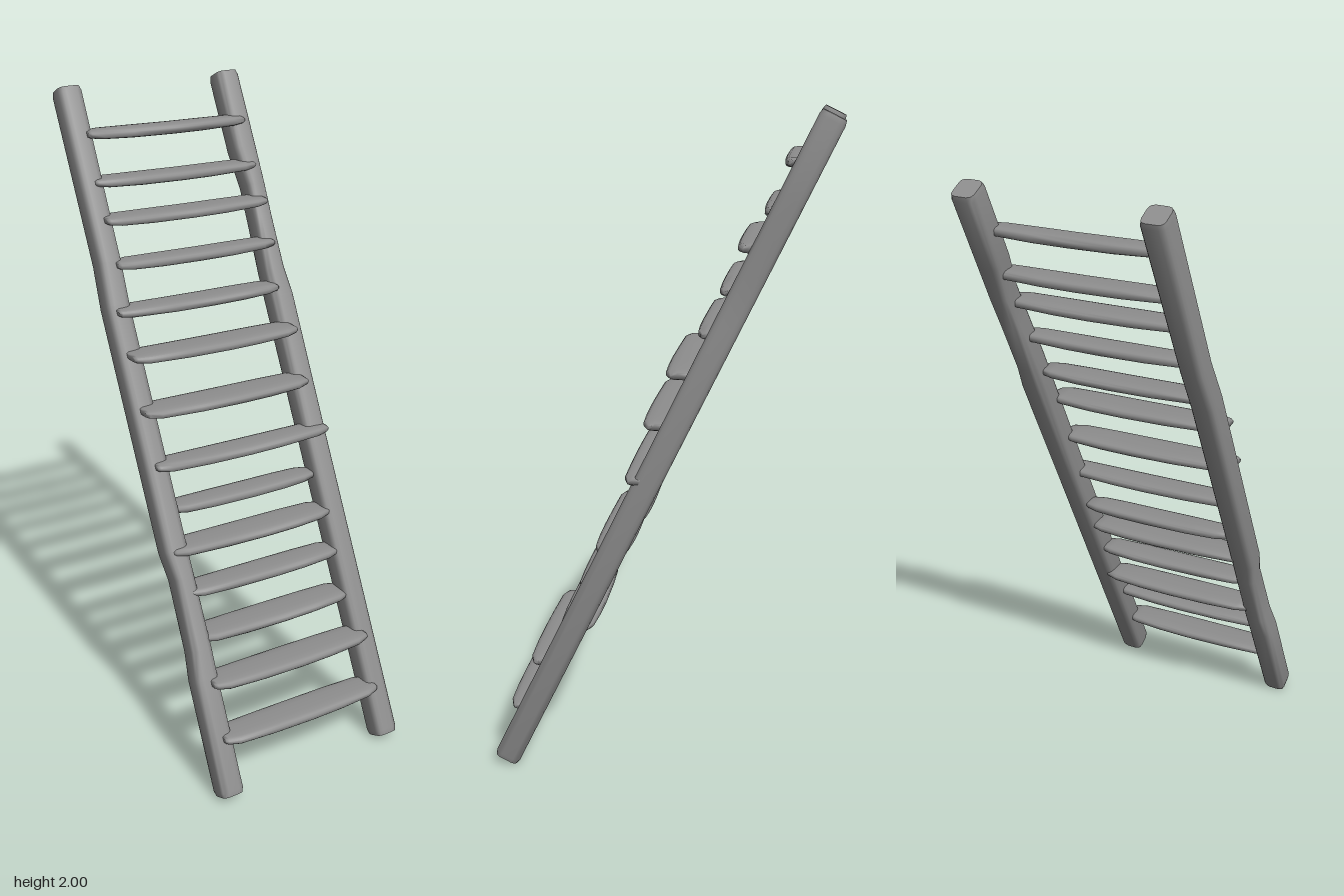
import * as THREE from 'three';
import { toCreasedNormals } from 'three/addons/utils/BufferGeometryUtils.js';

const SIDES = 16;

// Rounded-rectangle sections lofted along a path; stations are [centre, halfU, halfV], u x v = path direction
function loft(stations, u, v, power) {
  const pos = [], index = [];
  const pow = (t) => Math.sign(t) * Math.abs(t) ** power;
  for (const [c, hu, hv] of stations) {
    for (let i = 0; i < SIDES; i++) {
      const a = ((i + 0.5) / SIDES) * Math.PI * 2;
      const p = c.clone().addScaledVector(u, pow(Math.cos(a)) * hu).addScaledVector(v, pow(Math.sin(a)) * hv);
      pos.push(p.x, p.y, p.z);
    }
  }
  const last = stations.length - 1;
  for (let j = 0; j < last; j++) {
    for (let i = 0; i < SIDES; i++) {
      const a = j * SIDES + i, b = j * SIDES + ((i + 1) % SIDES);
      index.push(a, b, b + SIDES, a, b + SIDES, a + SIDES);
    }
  }
  for (let i = 1; i < SIDES - 1; i++) {
    index.push(0, i + 1, i);
    index.push(last * SIDES, last * SIDES + i, last * SIDES + i + 1);
  }
  const g = new THREE.BufferGeometry();
  g.setAttribute('position', new THREE.Float32BufferAttribute(pos, 3));
  g.setIndex(index);
  return toCreasedNormals(g, 1.2);
}

export function createModel() {
  const ladder = new THREE.Group();
  ladder.name = 'ladder';
  const material = new THREE.MeshStandardMaterial({ color: 0x8e8e8e });
  const X = new THREE.Vector3(1, 0, 0), Y = new THREE.Vector3(0, 1, 0), Z = new THREE.Vector3(0, 0, 1);
  const add = (name, geometry) => {
    const mesh = new THREE.Mesh(geometry, material);
    mesh.name = name;
    ladder.add(mesh);
  };

  // Leaning side rails with small kinks: [height, x centre, half width]
  const lean = (y) => -(y - 1) * 0.489;
  const along = new THREE.Vector3(0, 1, -0.489).normalize();
  const across = along.clone().cross(X);
  const rails = {
    rightRail: [[0.016, -0.293, 0.034], [0.03, -0.293, 0.038], [0.34, -0.29, 0.038], [0.42, -0.284, 0.034],
      [0.62, -0.283, 0.032], [0.7, -0.289, 0.038], [1.38, -0.288, 0.038], [1.5, -0.281, 0.036],
      [1.97, -0.279, 0.038], [1.984, -0.279, 0.035]],
    leftRail: [[0.016, 0.291, 0.034], [0.03, 0.291, 0.038], [0.9, 0.288, 0.038], [1.32, 0.287, 0.039],
      [1.4, 0.282, 0.034], [1.55, 0.284, 0.031], [1.65, 0.286, 0.031], [1.76, 0.279, 0.038],
      [1.97, 0.276, 0.038], [1.984, 0.276, 0.035]],
  };
  for (const [name, points] of Object.entries(rails)) {
    const stations = points.map(([y, x, h], i) => {
      const end = i === 0 || i === points.length - 1;
      return [new THREE.Vector3(x, y, lean(y)), h, end ? 0.036 : 0.04];
    });
    add(name, loft(stations, X, across, 0.45));
  }

  // Flat hewn rungs: [height, front z, depth, x start, x end]
  const rungs = [
    [0.181, 0.483, 0.115, -0.29, 0.28], [0.336, 0.414, 0.115, -0.285, 0.285], [0.451, 0.32, 0.115, -0.275, 0.275],
    [0.582, 0.26, 0.1, -0.28, 0.27], [0.701, 0.21, 0.115, -0.305, 0.27], [0.806, 0.133, 0.09, -0.265, 0.255],
    [0.94, 0.108, 0.095, -0.3, 0.325], [1.096, 0.06, 0.12, -0.305, 0.28], [1.25, -0.007, 0.115, -0.305, 0.28],
    [1.368, -0.1, 0.1, -0.305, 0.265], [1.496, -0.165, 0.09, -0.27, 0.29], [1.62, -0.214, 0.105, -0.275, 0.295],
    [1.722, -0.288, 0.095, -0.275, 0.295], [1.857, -0.343, 0.082, -0.265, 0.285],
  ];
  rungs.forEach(([y, front, depth, x0, x1], n) => {
    const z = front - depth / 2, half = depth / 2;
    // Blunt tips, full belly in the middle, slight slope and sag
    const profile = [[x0, 0.6, 0.45], [x0 + 0.008, 0.7, 0.7], [x0 + 0.045, 0.9, 0.9], [-0.12, 0.97, 1],
      [0.02, 1, 1], [0.13, 0.97, 1], [x1 - 0.045, 0.88, 0.9], [x1 - 0.008, 0.66, 0.7], [x1, 0.55, 0.45]];
    const stations = profile.map(([x, wide, thick]) => [
      new THREE.Vector3(x, y - x * 0.018 + 0.06 * x * x - 0.002, z), 0.016 * thick, half * wide]);
    add('rung' + (n + 1), loft(stations, Y, Z, 0.6));
  });
  return ladder;
}
